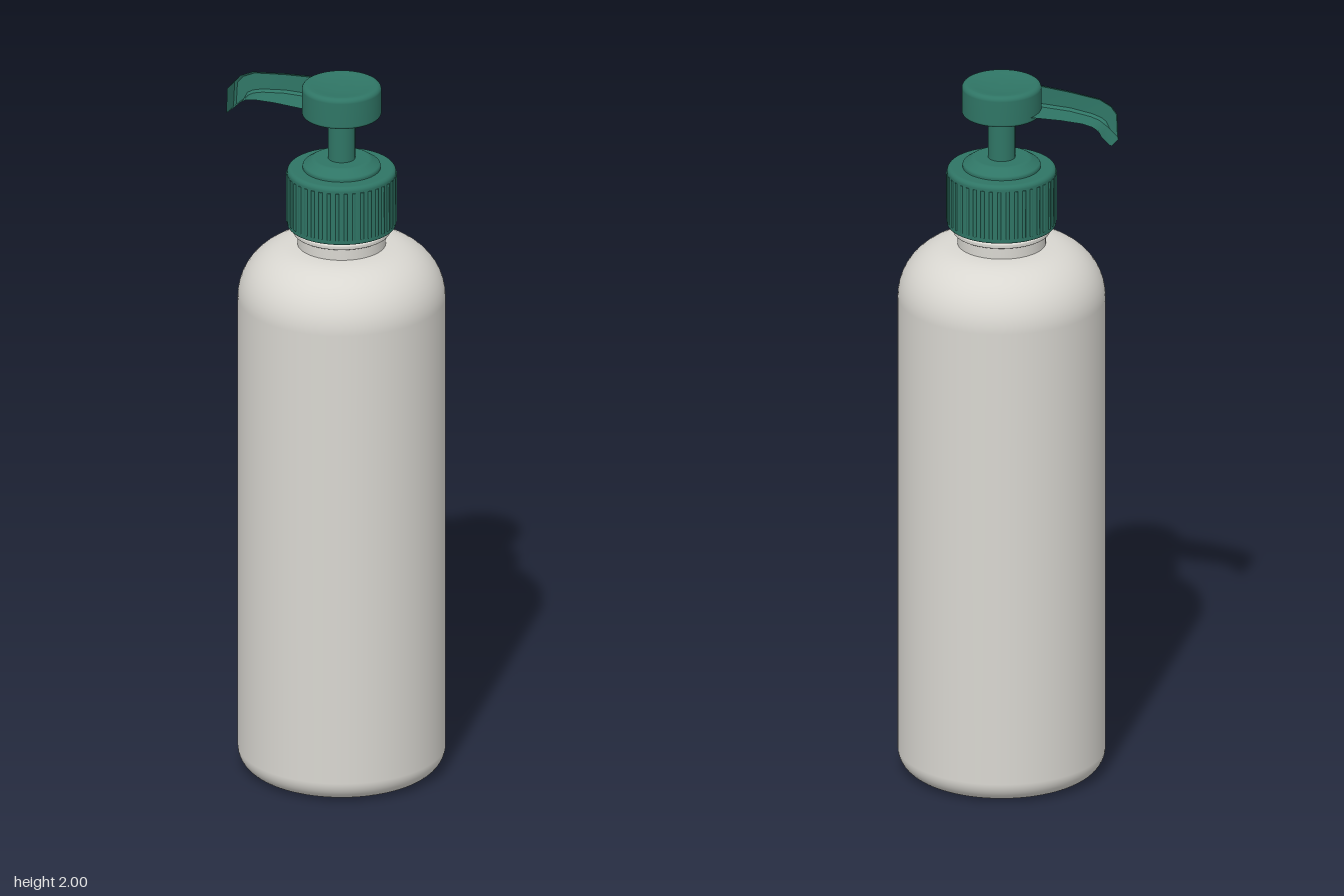
import * as THREE from 'three';
import { toCreasedNormals } from 'three/addons/utils/BufferGeometryUtils.js';

const AXIS_X = 0.0235; // bottle axis, offset to balance the spout

// Lathe profile from corners [radius, y, fillet]; unfilleted corners stay sharp
function profile(corners) {
  const pts = [];
  corners.forEach(([x, y, r = 0], i) => {
    const p = new THREE.Vector2(x, y);
    if (!r) {
      pts.push(p, p.clone());
      return;
    }
    const toward = (c) => new THREE.Vector2(c[0], c[1]).sub(p).setLength(r).add(p);
    const a = toward(corners[i - 1]);
    const b = toward(corners[i + 1]);
    const arc = new THREE.CubicBezierCurve(a, a.clone().lerp(p, 0.5523), b.clone().lerp(p, 0.5523), b);
    pts.push(...arc.getPoints(r > 0.03 ? 12 : 5));
  });
  return pts;
}

function turned(name, corners, material, segments = 64) {
  const mesh = new THREE.Mesh(new THREE.LatheGeometry(profile(corners), segments), material);
  mesh.name = name;
  return mesh;
}

// Curved spout lofted through bevelled rectangular sections
function spoutGeometry() {
  // top x, top y, bottom x, bottom y, half width
  const stations = [
    [-0.05, 1.993, -0.05, 1.928, 0.05],
    [-0.16, 1.989, -0.16, 1.93, 0.043],
    [-0.25, 1.982, -0.222, 1.926, 0.036],
    [-0.285, 1.966, -0.248, 1.92, 0.034],
    [-0.302, 1.945, -0.262, 1.912, 0.033],
    [-0.305, 1.872, -0.272, 1.902, 0.032],
  ];
  const positions = [];
  const index = [];
  const N = 8;
  for (const [tx, ty, bx, by, w] of stations) {
    const h = Math.hypot(tx - bx, ty - by);
    const c = 0.007;
    const t = c / h;
    const ring = [
      [0, -w + c], [0, w - c], [t, w], [1 - t, w],
      [1, w - c], [1, -w + c], [1 - t, -w], [t, -w],
    ];
    for (const [k, z] of ring) positions.push(tx + (bx - tx) * k, ty + (by - ty) * k, z);
  }
  const last = (stations.length - 1) * N;
  for (let s = 0; s < last; s += N) {
    for (let i = 0; i < N; i++) {
      const j = (i + 1) % N;
      index.push(s + i, s + j, s + N + i, s + j, s + N + j, s + N + i);
    }
  }
  for (let i = 1; i < N - 1; i++) {
    index.push(0, i + 1, i, last, last + i, last + i + 1);
  }
  const g = new THREE.BufferGeometry();
  g.setAttribute('position', new THREE.Float32BufferAttribute(positions, 3));
  g.setIndex(index);
  return toCreasedNormals(g, 0.6);
}

export function createModel() {
  const white = new THREE.MeshStandardMaterial({ color: 0xd9d7d1 });
  white.name = 'bottleWhite';
  const green = new THREE.MeshStandardMaterial({ color: 0x2f7565 });
  green.name = 'pumpGreen';

  const model = new THREE.Group();
  model.name = 'pumpBottle';
  const axis = new THREE.Group();
  axis.name = 'turnedParts';
  axis.position.x = AXIS_X;
  model.add(axis);

  // Bottle with rounded base and shoulder
  axis.add(turned('bottleBody', [
    [0, 0], [0.282, 0, 0.06], [0.282, 1.533, 0.155], [0.118, 1.533],
  ], white, 96));
  // Neck with a transfer bead
  axis.add(turned('neck', [
    [0.12, 1.53], [0.12, 1.565], [0.132, 1.568, 0.003], [0.132, 1.58, 0.003], [0.12, 1.584], [0.12, 1.61],
  ], white));

  // Screw collar, hollow underneath
  axis.add(turned('collar', [
    [0.11, 1.605], [0.135, 1.605], [0.135, 1.588], [0.148, 1.588, 0.006],
    [0.148, 1.757, 0.012], [0.1, 1.757],
  ], green));
  // Grip ribs around the collar
  const ribs = 40;
  const ribGeometry = new THREE.CylinderGeometry(0.0065, 0.0065, 0.138, 6);
  const grip = new THREE.InstancedMesh(ribGeometry, green, ribs);
  grip.name = 'collarRibs';
  const matrix = new THREE.Matrix4();
  for (let i = 0; i < ribs; i++) {
    const a = (i / ribs) * Math.PI * 2;
    matrix.makeTranslation(0.1445 * Math.sin(a), 1.671, 0.1445 * Math.cos(a));
    grip.setMatrixAt(i, matrix);
  }
  axis.add(grip);

  // Stepped disc on the collar
  axis.add(turned('collarDisc', [
    [0.106, 1.75], [0.106, 1.766, 0.004], [0.078, 1.785, 0.006], [0, 1.785],
  ], green));
  // Pump stem
  axis.add(turned('stem', [[0.037, 1.77], [0.037, 1.93]], green, 32));
  // Pump head with a slightly dished top
  axis.add(turned('pumpHead', [
    [0, 1.912], [0.108, 1.912, 0.008], [0.108, 2, 0.013], [0.088, 2, 0.006],
    [0.05, 1.995, 0.02], [0, 1.994],
  ], green));

  const spout = new THREE.Mesh(spoutGeometry(), green);
  spout.name = 'spout';
  model.add(spout);
  return model;
}
